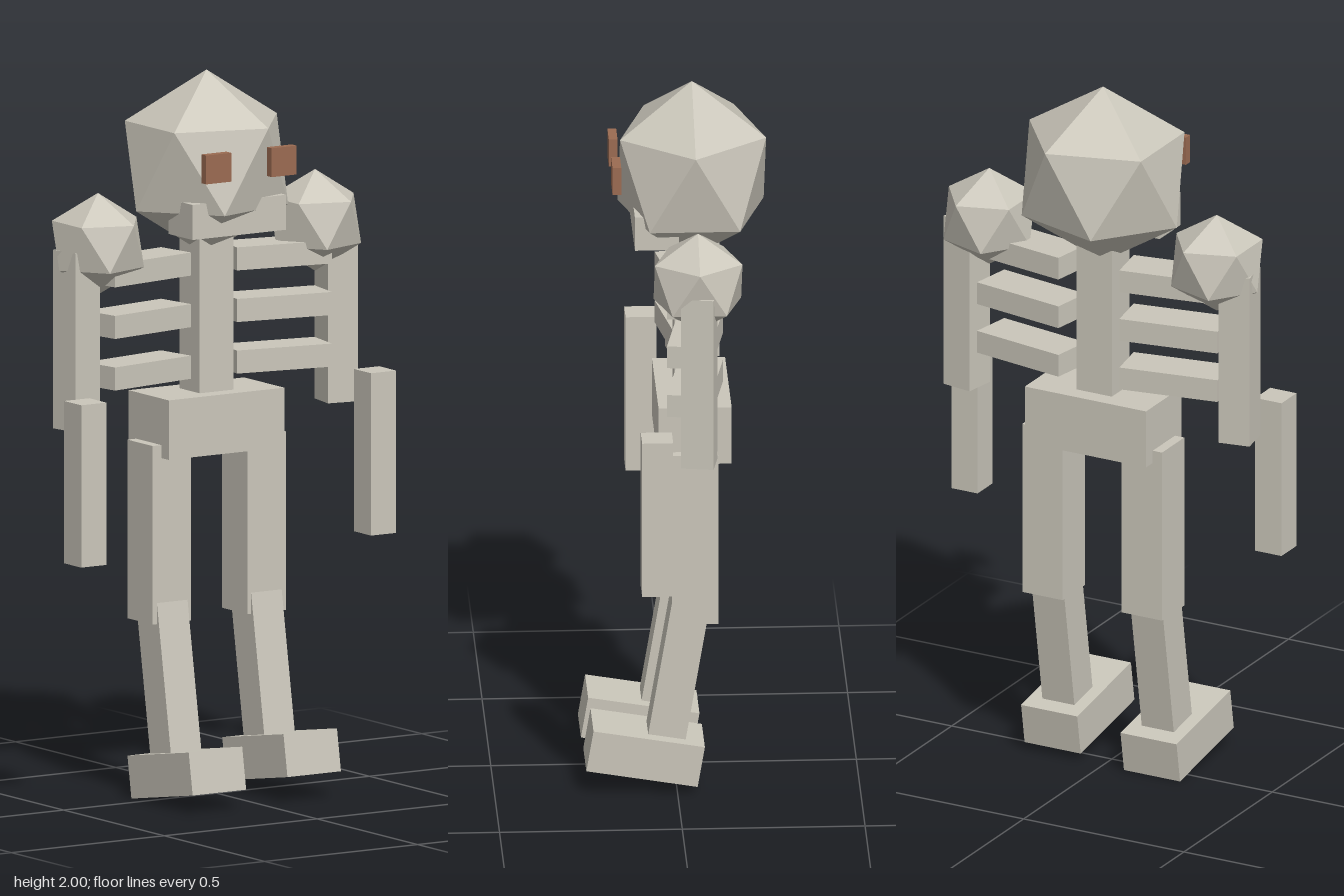
import * as THREE from 'three';

const bone = new THREE.MeshStandardMaterial({ color: 0xcac6ba, flatShading: true });
bone.name = 'bone';
const rust = new THREE.MeshStandardMaterial({ color: 0x9b6b52, flatShading: true });
rust.name = 'rust eyes';

const TILT = 0.168; // shared lean of ribs, arms, shins and feet

// Icosahedron standing on a vertex, with an upper-ring corner pointing at +x
function icoGeometry(rx, ry, rz) {
  const flat = 2 / Math.sqrt(5), rise = 1 / Math.sqrt(5);
  const ring = (k, y, turn) => {
    const a = (k + turn) * Math.PI * 0.4;
    return [Math.cos(a) * flat * rx, y * ry, Math.sin(a) * flat * rz];
  };
  const top = [0, ry, 0], bottom = [0, -ry, 0], pos = [];
  for (let k = 0; k < 5; k++) {
    const u0 = ring(k, rise, 0), u1 = ring(k + 1, rise, 0);
    const l0 = ring(k, -rise, 0.5), l1 = ring(k + 1, -rise, 0.5);
    pos.push(...top, ...u1, ...u0);
    pos.push(...u0, ...u1, ...l0);
    pos.push(...u1, ...l1, ...l0);
    pos.push(...l0, ...l1, ...bottom);
  }
  const g = new THREE.BufferGeometry();
  g.setAttribute('position', new THREE.Float32BufferAttribute(pos, 3));
  g.computeVertexNormals();
  return g;
}

export function createModel() {
  const model = new THREE.Group();
  model.name = 'skeleton';

  const add = (name, geometry, position, material = bone) => {
    const mesh = new THREE.Mesh(geometry, material);
    mesh.name = name;
    mesh.position.set(...position);
    model.add(mesh);
    return mesh;
  };
  const box = (name, size, position, material) =>
    add(name, new THREE.BoxGeometry(...size), position, material);

  // Head, jaw and trunk
  add('head', icoGeometry(0.257, 0.257, 0.235), [0, 1.743, -0.05]);
  box('jaw', [0.305, 0.097, 0.12], [0, 1.613, 0.053]);
  box('spine', [0.11, 0.48, 0.1], [0, 1.33, -0.05]);
  box('pelvis', [0.378, 0.165, 0.2], [0, 1.032, -0.05]);

  for (const s of [-1, 1]) {
    const side = s > 0 ? 'left' : 'right';

    box(side + 'Eye', [0.082, 0.08, 0.024], [s * 0.107, 1.767, 0.162], rust);

    // Ribs swing forward at their outer ends
    for (let i = 0; i < 3; i++) {
      const rib = box(side + 'Rib' + (i + 1), [0.284, 0.064, 0.12],
        [s * 0.225, 1.473 - i * 0.143, -0.048]);
      rib.rotation.y = -s * TILT;
    }

    // Arm
    add(side + 'Shoulder', icoGeometry(0.141, 0.141, 0.141), [s * 0.355, 1.55, -0.05]);
    const upperArm = box(side + 'UpperArm', [0.09, 0.495, 0.09], [s * 0.425, 1.292, -0.05]);
    upperArm.rotation.y = -s * TILT;
    box(side + 'Forearm', [0.082, 0.45, 0.085], [s * 0.474, 0.915, 0.068]);

    // Leg: the model's left foot sits slightly higher
    box(side + 'Thigh', [0.126, 0.495, 0.126], [s * 0.155, 0.738, -0.049]);
    const shin = box(side + 'Shin', [0.1, 0.5, 0.104], [s * 0.154, 0.35, -0.005]);
    shin.rotation.x = -TILT;
    const foot = box(side + 'Foot', [0.175, 0.118, 0.309],
      [s * 0.155, s > 0 ? 0.107 : 0.085, 0.088]);
    foot.rotation.x = -TILT;
  }
  return model;
}
